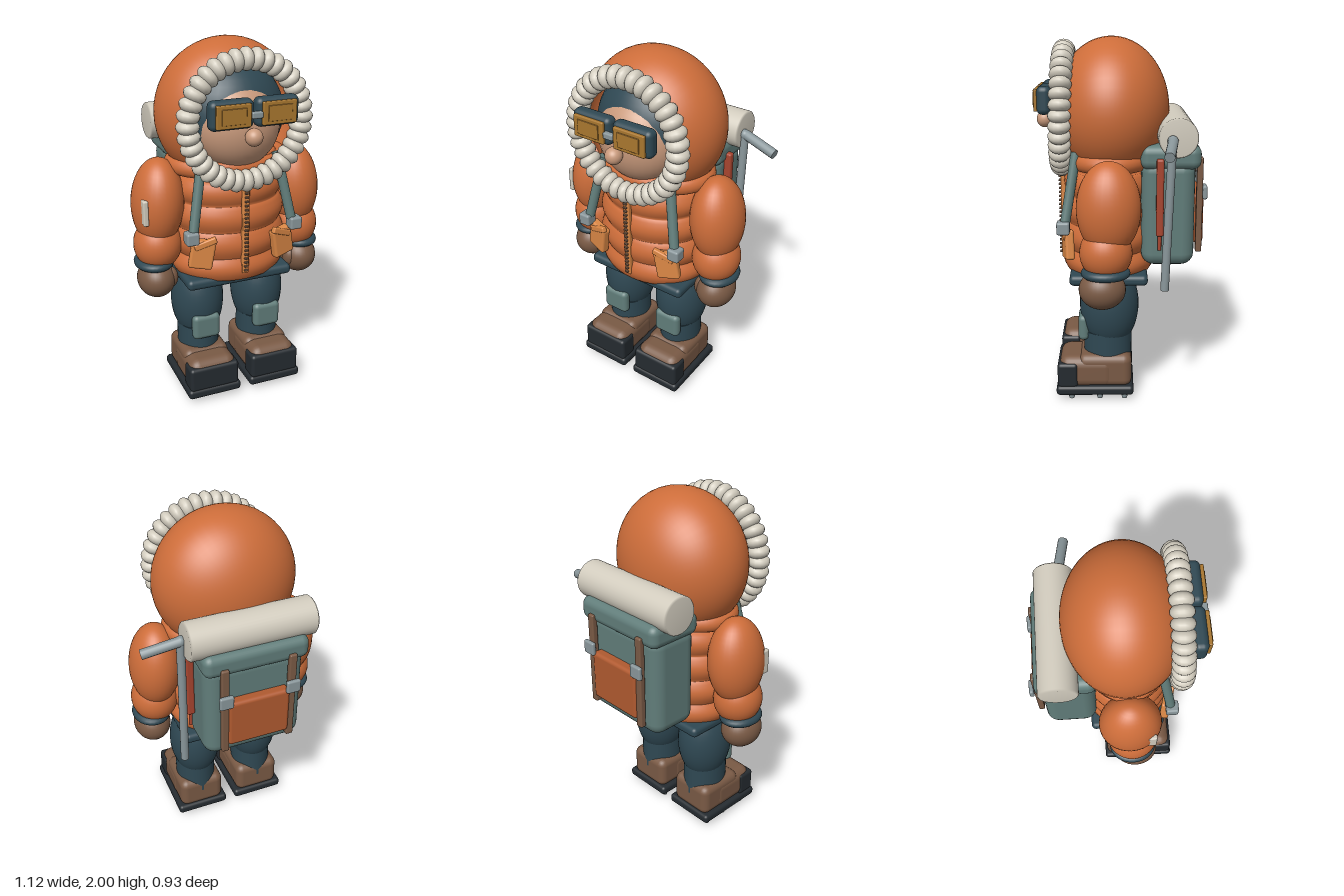
import * as THREE from 'three';
import { RoundedBoxGeometry } from 'three/addons/geometries/RoundedBoxGeometry.js';

const mat = (color) => new THREE.MeshStandardMaterial({ color, side: THREE.DoubleSide });
const M = {
  orange: mat(0xcd6d3a), tan: mat(0xdb8846), rust: mat(0xb05a30), navy: mat(0x2f4853),
  teal: mat(0x617d7a), cream: mat(0xd2ccbe), brown: mat(0x7a5a45), black: mat(0x252b30),
  skin: mat(0xc99a7c), gold: mat(0xa9772f), grey: mat(0x8a979b), red: mat(0xa8452f),
};

export function createModel() {
  const model = new THREE.Group();
  const body = new THREE.Group();
  body.name = 'explorer';
  body.position.x = -0.007;
  model.add(body);

  const add = (name, geo, material, pos = [0, 0, 0], rot = [0, 0, 0], scale = [1, 1, 1]) => {
    const m = new THREE.Mesh(geo, material);
    m.name = name;
    m.position.set(...pos);
    m.rotation.set(...rot);
    m.scale.set(...scale);
    body.add(m);
    return m;
  };
  const ball = (name, material, pos, r, rot) =>
    add(name, new THREE.SphereGeometry(1, 32, 24), material, pos, rot, r);
  const box = (name, material, pos, size, radius = 0.01, rot) =>
    add(name, new RoundedBoxGeometry(...size, 3, radius), material, pos, rot);
  const rod = (name, material, a, b, r) => {
    const path = new THREE.LineCurve3(new THREE.Vector3(...a), new THREE.Vector3(...b));
    const m = add(name, new THREE.CylinderGeometry(r, r, path.getLength(), 16), material);
    m.position.copy(path.getPoint(0.5));
    m.quaternion.setFromUnitVectors(new THREE.Vector3(0, 1, 0), path.getTangent(0));
    return m;
  };

  // Hood, open at the front
  const cut = Math.acos(0.7);
  const hoodGeo = new THREE.SphereGeometry(1, 48, 32, 0, Math.PI * 2, cut, Math.PI - cut);
  hoodGeo.rotateX(Math.PI / 2);
  add('hood', hoodGeo, M.orange, [0, 1.605, 0.05], [0, 0, 0], [0.394, 0.394, 0.318]);

  // Fur trim made of overlapping tufts
  const tuft = new THREE.SphereGeometry(1, 16, 12);
  const tufts = 36;
  for (let i = 0; i < tufts; i++) {
    const a = (i / tufts) * Math.PI * 2;
    add('furTrim', tuft, M.cream,
      [0.314 * Math.cos(a), 1.608 + 0.314 * Math.sin(a), 0.318 - 0.01 * Math.sin(a)],
      [0, 0, a], [0.061, 0.04, 0.061]);
  }

  // Face and goggles
  ball('balaclava', M.navy, [0, 1.605, 0.12], [0.29, 0.29, 0.23]);
  ball('face', M.skin, [0, 1.57, 0.2], [0.235, 0.24, 0.19]);
  ball('nose', M.skin, [0, 1.55, 0.42], [0.046, 0.046, 0.046]);
  for (const s of [-1, 1]) {
    box('goggleFrame', M.navy, [s * 0.123, 1.675, 0.405], [0.235, 0.15, 0.075], 0.03);
    box('goggleLens', M.gold, [s * 0.123, 1.675, 0.45], [0.185, 0.118, 0.02], 0.006);
    box('lensFace', M.gold, [s * 0.123, 1.675, 0.46], [0.13, 0.08, 0.01], 0.003);
  }
  box('goggleBridge', M.grey, [0, 1.672, 0.45], [0.06, 0.034, 0.03], 0.008);

  // Quilted jacket: a lathed profile with a bulge for each padded tier
  const profile = [new THREE.Vector2(0.0, 0.71), new THREE.Vector2(0.27, 0.71)];
  const tiers = [[0.71, 0.84, 0.33], [0.84, 0.99, 0.33], [0.99, 1.14, 0.325], [1.14, 1.28, 0.315], [1.28, 1.4, 0.29]];
  for (const [lo, hi, r] of tiers)
    for (let i = 0; i <= 8; i++)
      profile.push(new THREE.Vector2(r - 0.028 + 0.028 * Math.sin((i / 8) * Math.PI), lo + ((hi - lo) * i) / 8));
  profile.push(new THREE.Vector2(0, 1.46));
  add('jacket', new THREE.LatheGeometry(profile, 48), M.orange, [0, 0, 0.068], [0, 0, 0], [1, 1, 0.8]);
  ball('jacketBottom', M.orange, [0, 0.8, 0.065], [0.28, 0.178, 0.225]);
  add('collar', new THREE.TorusGeometry(0.305, 0.047, 16, 48), M.orange,
    [0, 1.343, 0.06], [Math.PI / 2, 0, 0], [1, 0.72, 1]);
  box('belt', M.navy, [0, 0.702, 0.068], [0.62, 0.06, 0.43], 0.025);

  // Zip
  box('zipTape', M.tan, [0, 1.05, 0.325], [0.038, 0.58, 0.03], 0.006);
  for (let i = 0; i < 24; i++)
    box('zipTooth', M.brown, [0, 0.78 + i * 0.0235, 0.345], [0.022, 0.01, 0.014], 0.003);

  for (const s of [-1, 1]) {
    // Arm
    ball('upperArm', M.orange, [s * 0.405, 1.14, 0.065], [0.143, 0.248, 0.17], [0, 0, s * 0.06]);
    ball('lowerArm', M.orange, [s * 0.417, 0.905, 0.08], [0.133, 0.145, 0.14]);
    add('cuff', new THREE.TorusGeometry(0.085, 0.024, 12, 32), M.navy,
      [s * 0.443, 0.803, 0.082], [Math.PI / 2, 0, 0], [1, 1.2, 1]);
    ball('mitten', M.brown, [s * 0.437, 0.708, 0.1], [0.106, 0.108, 0.125]);
    ball('thumb', M.brown, [s * 0.365, 0.715, 0.14], [0.04, 0.06, 0.045]);

    // Leg
    ball('thigh', M.navy, [s * 0.187, 0.53, 0.066], [0.15, 0.26, 0.166]);
    add('shin', new THREE.CylinderGeometry(0.118, 0.118, 0.2, 32), M.navy,
      [s * 0.187, 0.28, 0.075], [0, 0, 0], [1, 1, 1.15]);
    box('kneePad', M.teal, [s * 0.187, 0.405, 0.21], [0.162, 0.15, 0.06], 0.028);

    // Boot
    box('bootHeel', M.brown, [s * 0.187, 0.165, 0.09], [0.272, 0.195, 0.3], 0.045);
    box('bootToe', M.brown, [s * 0.187, 0.155, 0.19], [0.28, 0.19, 0.32], 0.06);
    box('toeCap', M.black, [s * 0.187, 0.145, 0.3], [0.292, 0.145, 0.115], 0.02);
    box('sole', M.black, [s * 0.187, 0.057, 0.147], [0.315, 0.055, 0.435], 0.02);
    for (const z of [0.28, 0.12, -0.02])
      for (const x of [-0.115, 0.115])
        add('cleat', new THREE.CylinderGeometry(0.02, 0.015, 0.04, 8), M.grey, [s * 0.187 + x, 0.02, z]);

    // Chest strap, buckle and pocket
    rod('shoulderStrap', M.teal, [s * 0.215, 1.4, 0.24], [s * 0.285, 1.03, 0.3], 0.027);
    box('strapBuckle', M.grey, [s * 0.3, 1.007, 0.31], [0.07, 0.07, 0.07], 0.012);
    box('pocket', M.tan, [s * 0.235, 0.897, 0.29], [0.13, 0.165, 0.05], 0.014, [0, s * 0.25, s * 0.17]);
    box('pocketFlap', M.tan, [s * 0.222, 0.962, 0.31], [0.125, 0.035, 0.03], 0.008, [0, s * 0.25, -s * 0.35]);
  }
  box('armPatch', M.cream, [-0.508, 1.13, 0.175], [0.028, 0.14, 0.05], 0.008);

  // Backpack with lid, bedroll and rear pocket
  box('backpack', M.teal, [0, 1.07, -0.255], [0.56, 0.59, 0.29], 0.07);
  box('backpackLid', M.teal, [0, 1.38, -0.265], [0.585, 0.13, 0.325], 0.045);
  const roll = [[0, -0.347], [0.095, -0.347], [0.104, -0.338], [0.104, 0.338], [0.095, 0.347], [0, 0.347]]
    .map(([x, y]) => new THREE.Vector2(x, y));
  add('bedroll', new THREE.LatheGeometry(roll, 40), M.cream, [0, 1.495, -0.297], [0, 0, Math.PI / 2]);
  box('rearPocket', M.rust, [0, 1.02, -0.42], [0.35, 0.28, 0.07], 0.02);
  for (const s of [-1, 1]) {
    box('rearStrap', M.brown, [s * 0.188, 1.105, -0.428], [0.042, 0.53, 0.034], 0.008);
    box('rearBuckle', M.grey, [s * 0.188, 1.18, -0.455], [0.078, 0.075, 0.026], 0.01);
  }

  // Tools on the pack's left side
  box('redSheath', M.red, [0.3, 1.17, -0.207], [0.045, 0.42, 0.04], 0.012);
  rod('sheathTip', M.red, [0.3, 0.88, -0.207], [0.3, 0.97, -0.207], 0.01);
  rod('pole', M.grey, [0.352, 0.67, -0.235], [0.358, 1.49, -0.265], 0.023);
  ball('poleJoint', M.grey, [0.358, 1.485, -0.265], [0.028, 0.028, 0.028]);
  rod('poleHandle', M.grey, [0.358, 1.485, -0.268], [0.557, 1.436, -0.236], 0.027);
  return model;
}
